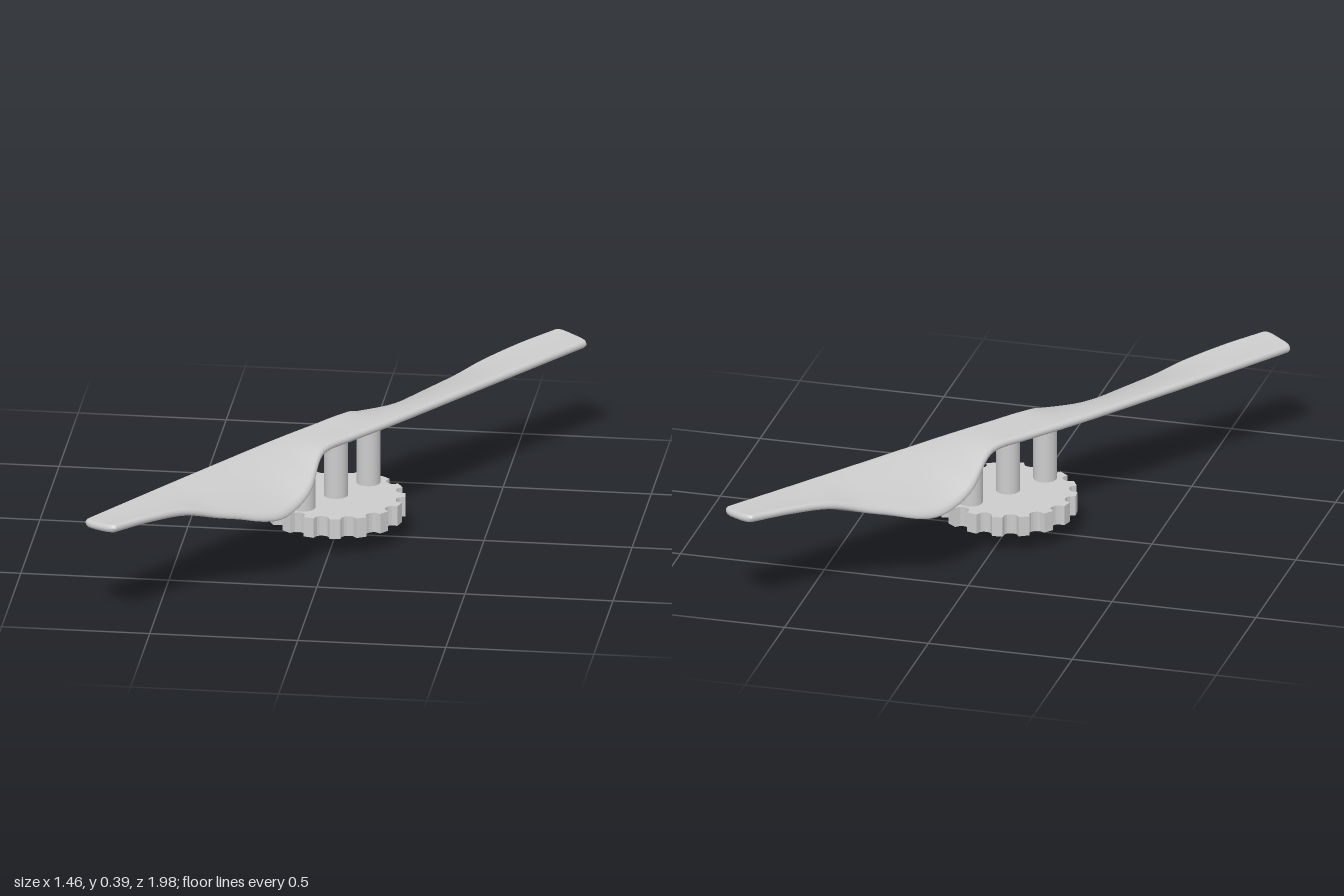
import * as THREE from 'three';

const material = new THREE.MeshStandardMaterial({ color: 0xcccccc });
const HALF_LENGTH = 1.18;

// Smooth interpolation through [position, value] pairs
function profile(points) {
  const slope = (i) => {
    const a = points[Math.max(0, i - 1)], b = points[Math.min(points.length - 1, i + 1)];
    return (b[1] - a[1]) / (b[0] - a[0]);
  };
  return (x) => {
    let i = 0;
    while (i < points.length - 2 && x > points[i + 1][0]) i++;
    const [x0, y0] = points[i], [x1, y1] = points[i + 1];
    const d = x1 - x0, f = THREE.MathUtils.clamp((x - x0) / d, 0, 1);
    const f2 = f * f, f3 = f2 * f;
    return y0 * (2 * f3 - 3 * f2 + 1) + y1 * (3 * f2 - 2 * f3)
      + d * (slope(i) * (f3 - 2 * f2 + f) + slope(i + 1) * (f3 - f2));
  };
}

// Quarter-round falloff of the thickness near an edge
const rounded = (distance, radius) => {
  const k = 1 - Math.min(1, Math.max(0, distance) / radius);
  return Math.sqrt(Math.max(0, 1 - k * k));
};

// Blade outline by distance from the hub: straight edge, bulging edge and its droop
const straightEdge = profile([[0, 0.086], [0.2, 0.088], [0.56, 0.079], [1.18, 0.06]]);
const bulgeEdge = profile([[0, 0.086], [0.13, 0.088], [0.19, 0.112], [0.3, 0.178], [0.4, 0.2], [0.48, 0.206],
  [0.56, 0.193], [0.65, 0.162], [0.84, 0.112], [1, 0.095], [1.18, 0.08]]);
const droop = profile([[0, 0], [0.1, 0], [0.17, 0.012], [0.26, 0.055], [0.38, 0.102], [0.47, 0.116],
  [0.55, 0.105], [0.64, 0.078], [0.72, 0.056], [0.84, 0.018], [1, -0.002], [1.18, -0.011]]);

function bladeGeometry() {
  const rows = 128, across = 28, loop = across * 2;
  const u = new THREE.Vector3(0.585, 0, -0.811), v = new THREE.Vector3(0.811, 0, 0.585);
  const positions = [], index = [];
  for (let j = 0; j <= rows; j++) {
    const s = -HALF_LENGTH * Math.cos((Math.PI * j) / rows), r = Math.abs(s);
    const shift = -0.01 * (1 - (r / HALF_LENGTH) ** 2);
    const left = shift - (s > 0 ? bulgeEdge(r) : straightEdge(r));
    const right = shift + (s > 0 ? straightEdge(r) : bulgeEdge(r));
    for (let k = 0; k < loop; k++) {
      const top = k <= across, i = top ? k : loop - k;
      const w = 0.5 - 0.5 * Math.cos((Math.PI * i) / across);
      const t = left + (right - left) * w;
      const fall = droop(r) * Math.pow(s > 0 ? 1 - w : w, 1.7);
      const half = 0.014 * rounded(Math.min(t - left, right - t), 0.014) * rounded(HALF_LENGTH - r, 0.014);
      // The tips are gently bowed
      const along = s * (1 - 0.014 * Math.pow(2 * w - 1, 4) * (r / HALF_LENGTH) ** 4);
      const p = u.clone().multiplyScalar(along).addScaledVector(v, t);
      positions.push(p.x, 0.361 + 0.005 * s - fall + (top ? half : -half), p.z);
      if (j < rows) {
        const a = j * loop + k, b = j * loop + ((k + 1) % loop);
        index.push(a, b, a + loop, b, b + loop, a + loop);
      }
    }
  }
  const geometry = new THREE.BufferGeometry();
  geometry.setAttribute('position', new THREE.Float32BufferAttribute(positions, 3));
  geometry.setIndex(index);
  geometry.computeVertexNormals();
  return geometry;
}

function gearGeometry() {
  const teeth = 16, step = (Math.PI * 2) / teeth, phase = THREE.MathUtils.degToRad(6.5);
  // Tooth flanks as [fraction of a step, radius]
  const tooth = [[-0.5, 0.205], [-0.36, 0.207], [-0.26, 0.214], [-0.2, 0.233], [0.2, 0.233], [0.26, 0.214], [0.36, 0.207]];
  const points = [];
  for (let n = 0; n < teeth; n++) {
    for (const [f, r] of tooth) {
      const a = phase + (n + f) * step;
      points.push(new THREE.Vector2(Math.cos(a) * r, Math.sin(a) * r));
    }
  }
  return new THREE.ExtrudeGeometry(new THREE.Shape(points), { depth: 0.07, bevelEnabled: false }).rotateX(-Math.PI / 2);
}

export function createModel() {
  const model = new THREE.Group();
  const add = (name, geometry, x = 0, y = 0, z = 0) => {
    const mesh = new THREE.Mesh(geometry, material);
    mesh.name = name;
    mesh.position.set(x, y, z);
    model.add(mesh);
  };

  add('propellerBlade', bladeGeometry());
  add('gear', gearGeometry(), 0, 0.07, 0);

  // Central shaft with a chamfered foot
  add('shaft', new THREE.CylinderGeometry(0.04, 0.04, 0.352, 32), 0, 0.184, 0);
  add('shaftFoot', new THREE.CylinderGeometry(0.04, 0.032, 0.008, 32), 0, 0.004, 0);

  // Posts joining the gear to the blade
  for (const side of [-1, 1]) {
    add(side < 0 ? 'rightPost' : 'leftPost', new THREE.CylinderGeometry(0.04, 0.04, 0.24, 32),
      side * 0.093, 0.24, -side * 0.13);
  }
  return model;
}
